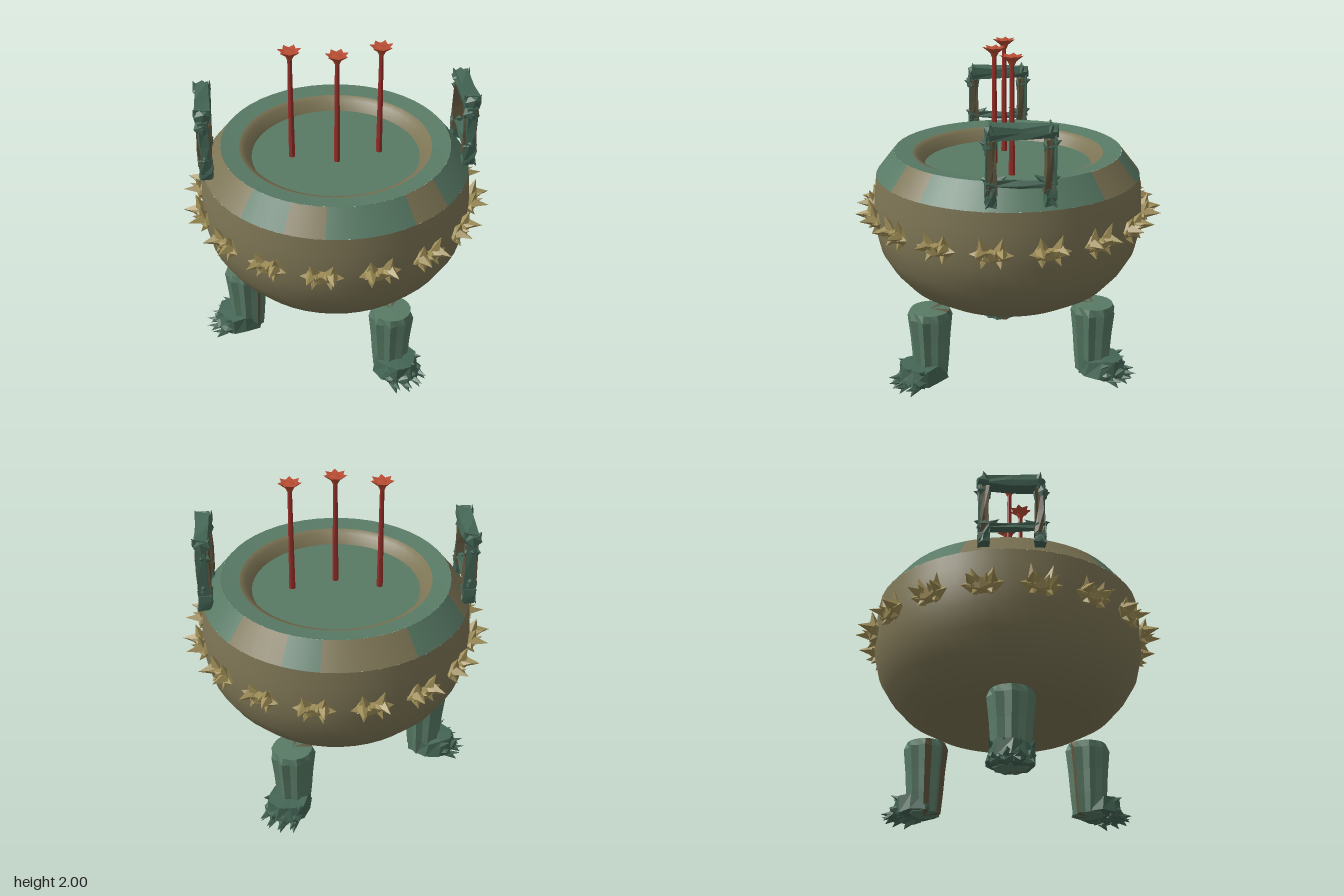
import * as THREE from 'three';
import { mergeGeometries } from 'three/addons/utils/BufferGeometryUtils.js';

const mat = (name, color) => {
  const m = new THREE.MeshStandardMaterial({ color });
  m.name = name;
  return m;
};
const V = (x, y, z) => new THREE.Vector3(x, y, z);
const rad = THREE.MathUtils.degToRad;

// repeatable noise in -1..1 from a position, so shared corners move together
const noise = (x, y, z, k) => {
  const s = Math.sin(Math.round(x * 1e3) * 12.99 + Math.round(y * 1e3) * 78.23 + Math.round(z * 1e3) * 37.72 + k * 4.1) * 43758.5;
  return (s - Math.floor(s)) * 2 - 1;
};

// faceted copy of a geometry, optionally with crumpled corners
function facet(geo, amount = 0) {
  const g = geo.index ? geo.toNonIndexed() : geo;
  const p = g.attributes.position;
  for (let i = 0; i < p.count; i++) {
    const x = p.getX(i), y = p.getY(i), z = p.getZ(i);
    p.setXYZ(i, x + amount * noise(x, y, z, 1), y + amount * noise(x, y, z, 2), z + amount * noise(x, y, z, 3));
  }
  g.computeVertexNormals();
  return g;
}

// pointed spike from a base point to a tip
function spike(a, b, r, sides = 4) {
  const d = b.clone().sub(a);
  const g = new THREE.ConeGeometry(r, d.length(), sides);
  g.applyQuaternion(new THREE.Quaternion().setFromUnitVectors(V(0, 1, 0), d.clone().normalize()));
  g.translate((a.x + b.x) / 2, (a.y + b.y) / 2, (a.z + b.z) / 2);
  return facet(g);
}
const lump = (c, s, crumple = 0.012) => facet(
  new THREE.IcosahedronGeometry(1, 0).scale(s.x, s.y, s.z).translate(c.x, c.y, c.z), crumple);
const block = (w, h, d, x, y, z, crumple = 0.008) => facet(
  new THREE.BoxGeometry(w, h, d, 1, 2, 2).translate(x, y, z), crumple);

export function createModel() {
  const root = new THREE.Group();
  root.name = 'tripodCenser';
  const bronze = mat('olive bronze', 0x7d7555);
  const patina = mat('green patina', 0x587a65);
  const darkPatina = mat('dark patina', 0x456656);
  const darkBronze = mat('dark bronze', 0x5f573f);
  const gold = mat('dull gold', 0xa08f58);
  const red = mat('stick red', 0x96302a);
  const ember = mat('ember orange', 0xb84c32);

  const add = (parent, name, geo, material) => {
    const m = new THREE.Mesh(geo, material);
    m.name = name;
    parent.add(m);
    return m;
  };
  const lathe = (name, pts, material, from = 0, to = 360) => add(root, name,
    new THREE.LatheGeometry(pts.map(p => new THREE.Vector2(...p)), Math.ceil((to - from) / 7.5), rad(from), rad(to - from)), material);

  // bowl
  lathe('bowlBelly', [[0, 0.445], [0.25, 0.468], [0.48, 0.5], [0.62, 0.58], [0.71, 0.68], [0.775, 0.79],
    [0.805, 0.92], [0.81, 1.04], [0.802, 1.15], [0.79, 1.25]], bronze);
  // shoulder, with patches of patina between bronze stretches
  const cuts = [-10, 28, 47, 128, 155, 171, 212, 248, 312, 333, 350];
  for (let i = 0; i < cuts.length - 1; i++) {
    lathe(i % 2 ? 'shoulderBronze' : 'shoulderPatch', [[0.79, 1.25], [0.68, 1.39]], i % 2 ? bronze : patina, cuts[i], cuts[i + 1]);
  }
  lathe('rim', [[0.68, 1.39], [0.65, 1.385], [0.57, 1.375]], patina);
  lathe('innerWall', [[0.57, 1.375], [0.535, 1.36], [0.5, 1.3]], bronze);
  lathe('bowlFloor', [[0.5, 1.3], [0, 1.3]], patina);

  // ring of spiky ornaments
  for (let i = 0; i < 16; i++) {
    const ear = 0.075 + 0.03 * Math.abs(noise(i, 2, 5, 1));
    const parts = [lump(V(0, -0.02, 0.02), V(0.095, 0.055, 0.05), 0.015)];
    for (const s of [-1, 1]) {
      parts.push(
        spike(V(s * 0.05, 0, 0.02), V(s * 0.075, 0.005, 0.135), 0.045),
        spike(V(s * 0.02, -0.01, 0.03), V(s * 0.03, 0.02, 0.1), 0.03),
        spike(V(s * 0.045, 0.01, 0.03), V(s * 0.065, ear, 0.055), 0.035),
        spike(V(s * 0.05, -0.02, 0.02), V(s * 0.125, -0.01, 0.035), 0.045),
        spike(V(s * 0.04, -0.04, 0.01), V(s * 0.055, -0.085, 0.06), 0.035));
    }
    const a = rad(11.25 + 22.5 * i);
    const m = add(root, 'spikyOrnament', mergeGeometries(parts), gold);
    m.position.set(0.79 * Math.sin(a), 1.03, 0.79 * Math.cos(a));
    m.rotation.y = a;
  }

  // three fluted legs with clawed feet, local +z pointing outward
  const legProfile = [[0, 0.03], [0.1, 0.04], [0.112, 0.16], [0.122, 0.3], [0.137, 0.44], [0.118, 0.483], [0, 0.487]];
  for (const deg of [-90, 30, 150]) {
    const leg = new THREE.Group();
    leg.name = 'leg';
    const a = rad(deg);
    leg.position.set(0.57 * Math.sin(a), 0, 0.57 * Math.cos(a));
    leg.rotation.y = a;
    root.add(leg);

    const sides = 18;
    const shaft = new THREE.LatheGeometry(legProfile.map(p => new THREE.Vector2(...p)), sides);
    const p = shaft.attributes.position, rows = legProfile.length;
    for (let i = 0; i < p.count; i++) {
      const column = Math.floor(i / rows) % sides;
      const k = column % 2 ? 0.86 : 1;
      if (i % rows < 5) p.setXYZ(i, p.getX(i) * k, p.getY(i), p.getZ(i) * k);
    }
    const flat = facet(shaft);
    const step = flat.attributes.position.count / sides;
    for (let i = 0; i < sides; i++) flat.addGroup(i * step, step, i === 6 || i === 9 ? 1 : 0);
    add(leg, 'flutedShaft', flat, [patina, darkBronze]);

    const foot = [facet(new THREE.CylinderGeometry(0.125, 0.14, 0.1, 10).scale(0.95, 1, 1.05).translate(0, 0.095, 0.06), 0.012)];
    for (const x of [-0.09, -0.032, 0.032, 0.09]) {
      const reach = 0.26 - Math.abs(x) * 0.6;
      foot.push(
        lump(V(x, 0.06, reach - 0.08), V(0.038, 0.04, 0.06)),
        spike(V(x, 0.045, reach - 0.05), V(x * 1.25, 0.005, reach + 0.01), 0.03),
        spike(V(x, 0.04, reach - 0.05), V(x * 1.15, 0.05, reach + 0.035), 0.025),
        spike(V(x, 0.11, reach - 0.12), V(x * 1.35, 0.15, reach - 0.045), 0.03));
    }
    add(leg, 'clawedFoot', mergeGeometries(foot), darkPatina);
  }

  // upright frame handles on both sides
  for (const side of [-1, 1]) {
    const handle = new THREE.Group();
    handle.name = side > 0 ? 'leftHandle' : 'rightHandle';
    handle.position.x = side * 0.765;
    root.add(handle);
    const frame = [
      block(0.085, 0.065, 0.32, 0, 1.695, 0, 0.012),
      block(0.05, 0.035, 0.3, 0, 1.405, 0, 0.012),
    ];
    const posts = [];
    for (const z of [-1, 1]) {
      posts.push(block(0.075, 0.3, 0.045, 0, 1.5, z * 0.152));
      frame.push(
        block(0.06, 0.34, 0.022, 0, 1.5, z * 0.18),
        lump(V(0, 1.69, z * 0.16), V(0.06, 0.05, 0.045)),
        lump(V(0, 1.62, z * 0.16), V(0.05, 0.045, 0.045)),
        lump(V(0, 1.41, z * 0.16), V(0.05, 0.035, 0.045)),
        block(0.075, 0.1, 0.06, 0, 1.335, z * 0.16, 0.01),
        spike(V(0, 1.41, z * 0.14), V(0, 1.455, z * 0.07), 0.03),
        spike(V(0, 1.62, z * 0.17), V(0, 1.64, z * 0.22), 0.03),
        spike(V(0, 1.43, z * 0.17), V(0, 1.44, z * 0.215), 0.03));
      for (const x of [-1, 1]) {
        frame.push(
          spike(V(x * 0.03, 1.7, z * 0.15), V(x * 0.05, 1.745, z * 0.165), 0.025),
          spike(V(x * 0.02, 1.32, z * 0.16), V(x * 0.045, 1.28, z * 0.195), 0.025));
      }
    }
    add(handle, 'handleFrame', mergeGeometries(frame), darkPatina);
    add(handle, 'handlePosts', mergeGeometries(posts), darkBronze);
  }

  // three incense sticks with star-edged tips
  for (const [x, z] of [[-0.26, 0], [0, 0.08], [0.26, 0]]) {
    const stick = new THREE.Group();
    stick.name = 'incenseStick';
    stick.position.set(x, 0, z);
    root.add(stick);
    add(stick, 'stickRod', facet(new THREE.CylinderGeometry(0.013, 0.019, 0.65, 7).translate(0, 1.625, 0)), red);
    const tip = new THREE.LatheGeometry([[0.012, 1.935], [0.026, 1.965], [0.07, 2], [0.03, 1.99], [0, 1.995]]
      .map(q => new THREE.Vector2(...q)), 14);
    const p = tip.attributes.position;
    for (let i = 0; i < p.count; i++) {
      if (i % 5 === 2 && Math.floor(i / 5) % 2) p.setXYZ(i, p.getX(i) * 0.68, p.getY(i) - 0.008, p.getZ(i) * 0.68);
    }
    add(stick, 'stickTip', facet(tip), ember);
  }
  return root;
}
